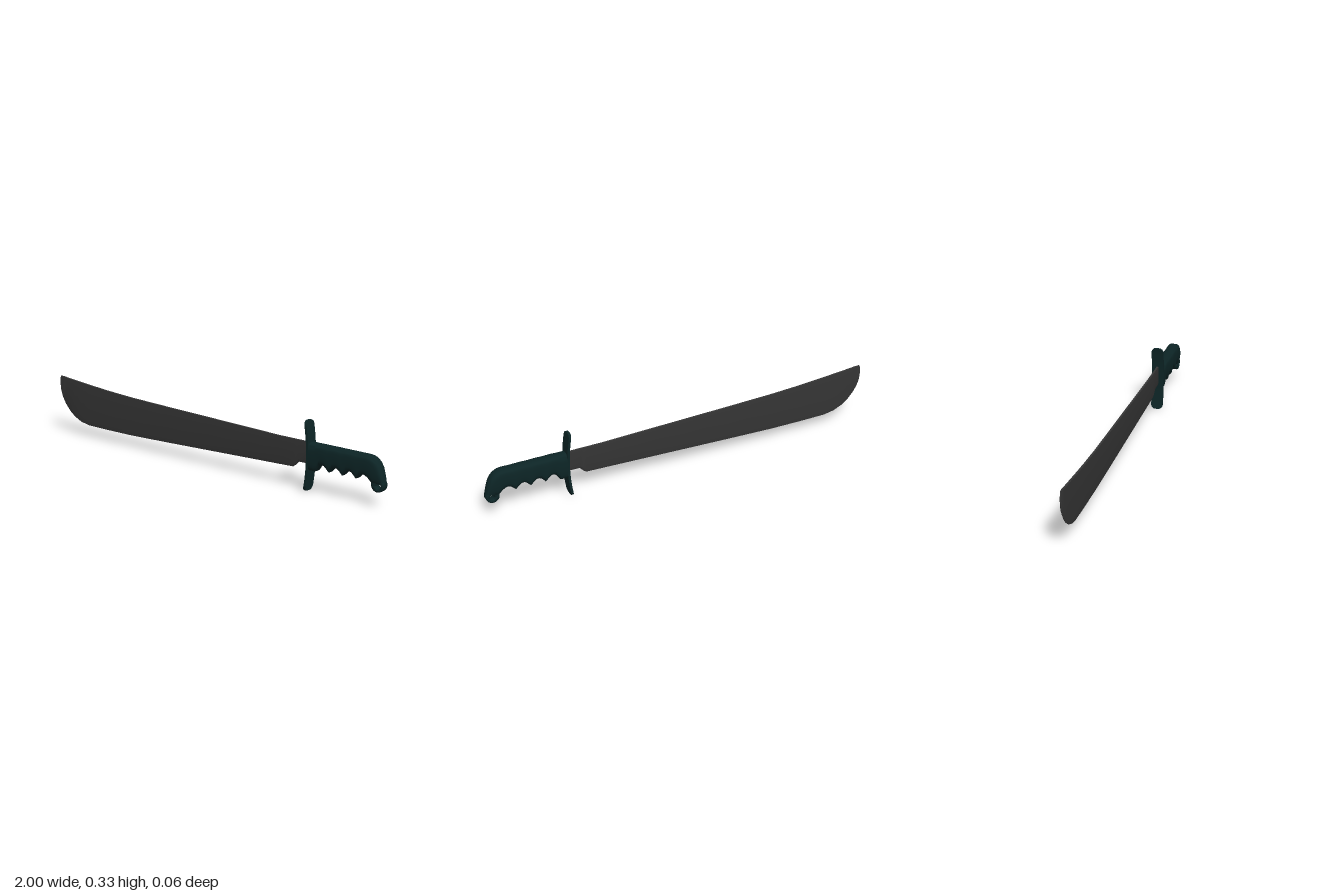
import * as THREE from 'three';
import { toCreasedNormals } from 'three/addons/utils/BufferGeometryUtils.js';

// Skin a closed solid over stations [topX, topY, bottomX, bottomY, halfWidth].
// The ring lists [height 0..1, side -1..1], anticlockwise seen from +x.
function loft(stations, ring, crease) {
  const pos = [], idx = [], n = ring.length, last = stations.length - 1;
  for (const [tx, ty, bx, by, w] of stations)
    for (const [s, z] of ring) pos.push(bx + (tx - bx) * s, by + (ty - by) * s, z * w);
  for (let i = 0; i < last; i++)
    for (let j = 0; j < n; j++) {
      const a = i * n + j, b = i * n + (j + 1) % n;
      idx.push(a, b, a + n, b, b + n, a + n);
    }
  for (const i of [0, last]) {
    const [tx, ty, bx, by] = stations[i], c = pos.length / 3;
    pos.push((tx + bx) / 2, (ty + by) / 2, 0);
    for (let j = 0; j < n; j++) {
      const a = i * n + j, b = i * n + (j + 1) % n;
      if (i) idx.push(c, a, b); else idx.push(c, b, a);
    }
  }
  const g = new THREE.BufferGeometry();
  g.setAttribute('position', new THREE.Float32BufferAttribute(pos, 3));
  g.setIndex(idx);
  return toCreasedNormals(g, crease);
}

function bladeGeometry() {
  const t = 0.005;
  const stations = [
    [-0.992, 0.295, -0.999, 0.28, 0.002],
    [-0.985, 0.294, -1.0, 0.25, 0.003],
    [-0.98, 0.293, -0.996, 0.215, 0.004],
    [-0.97, 0.292, -0.984, 0.182, t],
    [-0.95, 0.290, -0.963, 0.148, t],
    [-0.92, 0.287, -0.934, 0.116, t],
    [-0.89, 0.284, -0.900, 0.091, t],
    [-0.85, 0.281, -0.855, 0.071, t],
    [-0.8, 0.276, -0.8, 0.061, t],
    [-0.66, 0.265, -0.66, 0.060, t],
    [-0.5, 0.256, -0.5, 0.061, t],
    [-0.25, 0.248, -0.25, 0.069, t],
    [0, 0.241, 0, 0.078, t],
    [0.25, 0.234, 0.25, 0.087, t],
    [0.42, 0.229, 0.42, 0.093, t],
    [0.5, 0.229, 0.5, 0.096, t],
    [0.515, 0.229, 0.515, 0.107, t],
    [0.532, 0.229, 0.532, 0.125, t],
    [0.6, 0.229, 0.6, 0.126, t],
  ];
  // Flat spine, parallel sides, ground cutting edge
  const ring = [[0, 0.15], [0, -0.15], [0.12, -1], [1, -1], [1, 1], [0.12, 1]];
  return loft(stations, ring, 0.4);
}

function gripGeometry() {
  const stations = [];
  // Straight part with finger grooves underneath
  for (let i = 0; i <= 48; i++) {
    const x = 0.6 + 0.29 * i / 48;
    const groove = Math.abs(Math.sin(Math.PI * (x - 0.635) / 0.0735));
    const bottom = x < 0.635 ? 0.1 : 0.11 - 0.01 * Math.max(0, 1 - (x - 0.635) / 0.03) + 0.028 * groove;
    stations.push([x + 0.022 * Math.max(0, (x - 0.82) / 0.07), 0.231, x, bottom, 0.031]);
  }
  // Hooked end turning down
  stations.push(
    [0.93, 0.2285, 0.902, 0.135, 0.031],
    [0.95, 0.219, 0.914, 0.129, 0.031],
    [0.966, 0.204, 0.922, 0.122, 0.03],
    [0.978, 0.184, 0.927, 0.117, 0.029],
    [0.986, 0.16, 0.931, 0.113, 0.027],
    [0.993, 0.138, 0.934, 0.111, 0.024],
    [0.997, 0.122, 0.937, 0.11, 0.021]);
  const ring = [];
  for (let k = 0; k < 24; k++) {
    const a = k / 24 * Math.PI * 2, p = 0.55;
    const s = Math.sin(a), c = Math.cos(a);
    ring.push([0.5 - 0.5 * Math.sign(c) * Math.abs(c) ** p, -Math.sign(s) * Math.abs(s) ** p]);
  }
  return loft(stations, ring, 0.8);
}

// Rounded pommel eye with a lanyard hole
function pommelGeometry() {
  const shape = new THREE.Shape().absarc(0.966, 0.104, 0.033, 0, Math.PI * 2);
  shape.holes.push(new THREE.Path().absarc(0.97, 0.1, 0.013, 0, Math.PI * 2, true));
  const g = new THREE.ExtrudeGeometry(shape, {
    depth: 0.026, curveSegments: 20, bevelSize: 0.007, bevelOffset: -0.007, bevelThickness: 0.007, bevelSegments: 3,
  });
  g.translate(0, 0, -0.013);
  return toCreasedNormals(g, 0.8);
}

// Thin crossguard with rounded corners, both ends swept towards the blade
function guardGeometry() {
  const g = new THREE.BoxGeometry(0.012, 2, 0.06, 1, 32, 1);
  const p = g.attributes.position, half = 0.166, r = 0.022;
  for (let i = 0; i < p.count; i++) {
    const v = Math.sin(p.getY(i) * Math.PI / 2);
    const over = Math.max(0, Math.abs(v) * half - (half - r));
    const width = 0.03 - r + Math.sqrt(Math.max(0, r * r - over * over));
    p.setXYZ(i, p.getX(i) + 0.598 - 0.016 * v * v, half + half * v, Math.sign(p.getZ(i)) * width);
  }
  return toCreasedNormals(g, 0.6);
}

export function createModel() {
  const steel = new THREE.MeshStandardMaterial({ color: 0x363636 });
  steel.name = 'dark steel';
  const green = new THREE.MeshStandardMaterial({ color: 0x0d2526 });
  green.name = 'dark green grip';

  const model = new THREE.Group();
  model.name = 'machete';
  const add = (name, geometry, material) => {
    const mesh = new THREE.Mesh(geometry, material);
    mesh.name = name;
    model.add(mesh);
  };
  add('blade', bladeGeometry(), steel);
  add('guard', guardGeometry(), green);
  add('grip', gripGeometry(), green);
  add('pommelEye', pommelGeometry(), green);
  return model;
}
